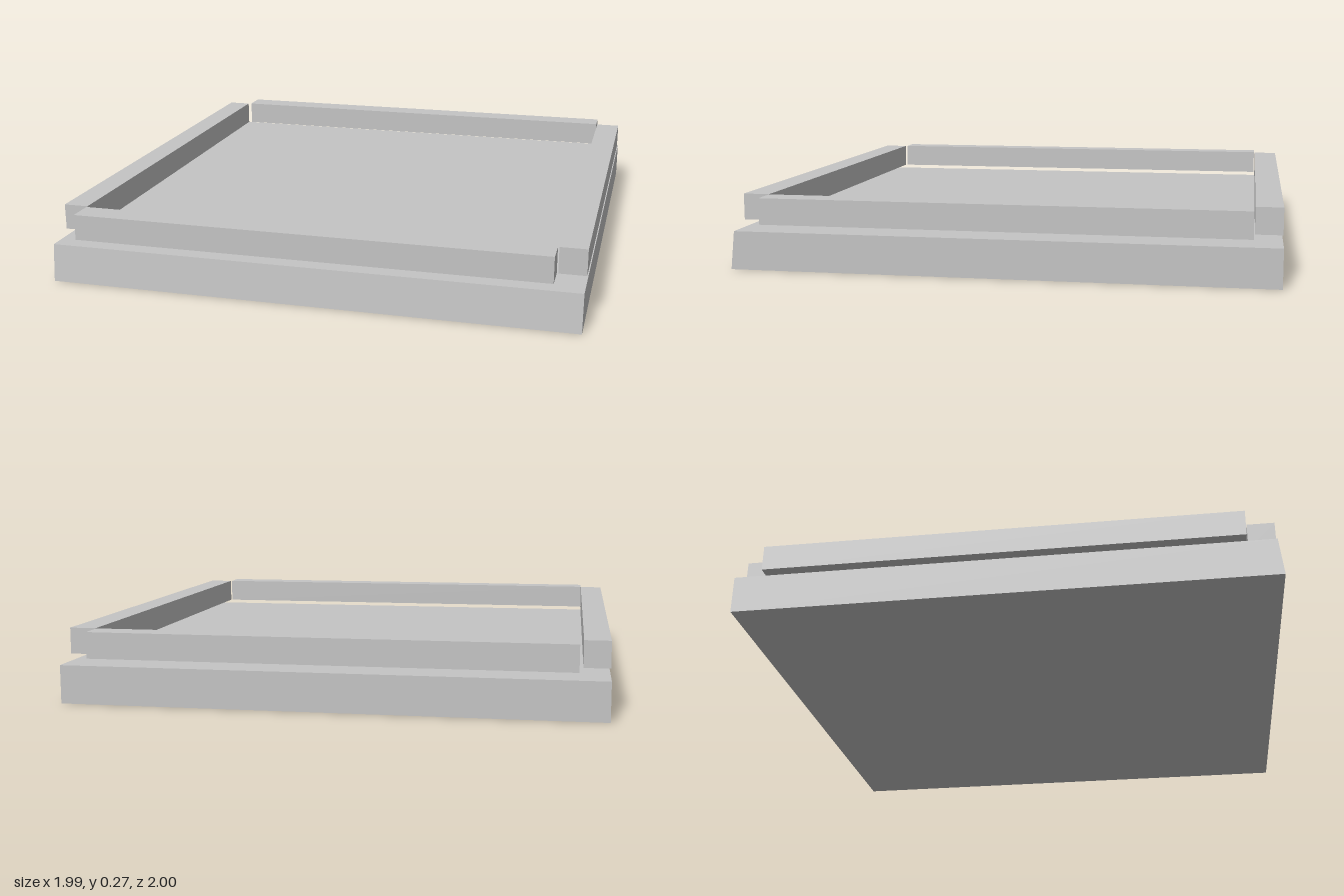
import * as THREE from 'three';

export function createModel() {
  const group = new THREE.Group();
  const grey = new THREE.MeshStandardMaterial({ color: 0xc4c4c4 });
  grey.name = 'plain grey';

  // Box given by its minimum and maximum corners
  const addBox = (name, [x0, y0, z0], [x1, y1, z1]) => {
    const geometry = new THREE.BoxGeometry(x1 - x0, y1 - y0, z1 - z0);
    geometry.translate((x0 + x1) / 2, (y0 + y1) / 2, (z0 + z1) / 2);
    const mesh = new THREE.Mesh(geometry, grey);
    mesh.name = name;
    group.add(mesh);
    return mesh;
  };

  // Base slab, its front face leaning back slightly
  const slab = addBox('baseSlab', [-0.993, 0, -1], [0.993, 0.143, 1]).geometry;
  const p = slab.attributes.position;
  for (let i = 0; i < p.count; i++) {
    if (p.getY(i) > 0.1 && p.getZ(i) > 0) p.setZ(i, 0.985);
  }
  slab.computeVertexNormals();

  // Four rails floating just above the slab, with open corners
  const low = 0.17, high = 0.268;
  addBox('frontRail', [-0.898, low, 0.888], [0.888, high, 0.988]);
  addBox('backRail', [-0.884, low, -1], [0.888, high, -0.902]);
  addBox('rightRail', [-0.993, low, -0.898], [-0.898, high, 0.88]);
  addBox('leftRail', [0.893, low, -0.898], [0.993, high, 0.886]);

  return group;
}
